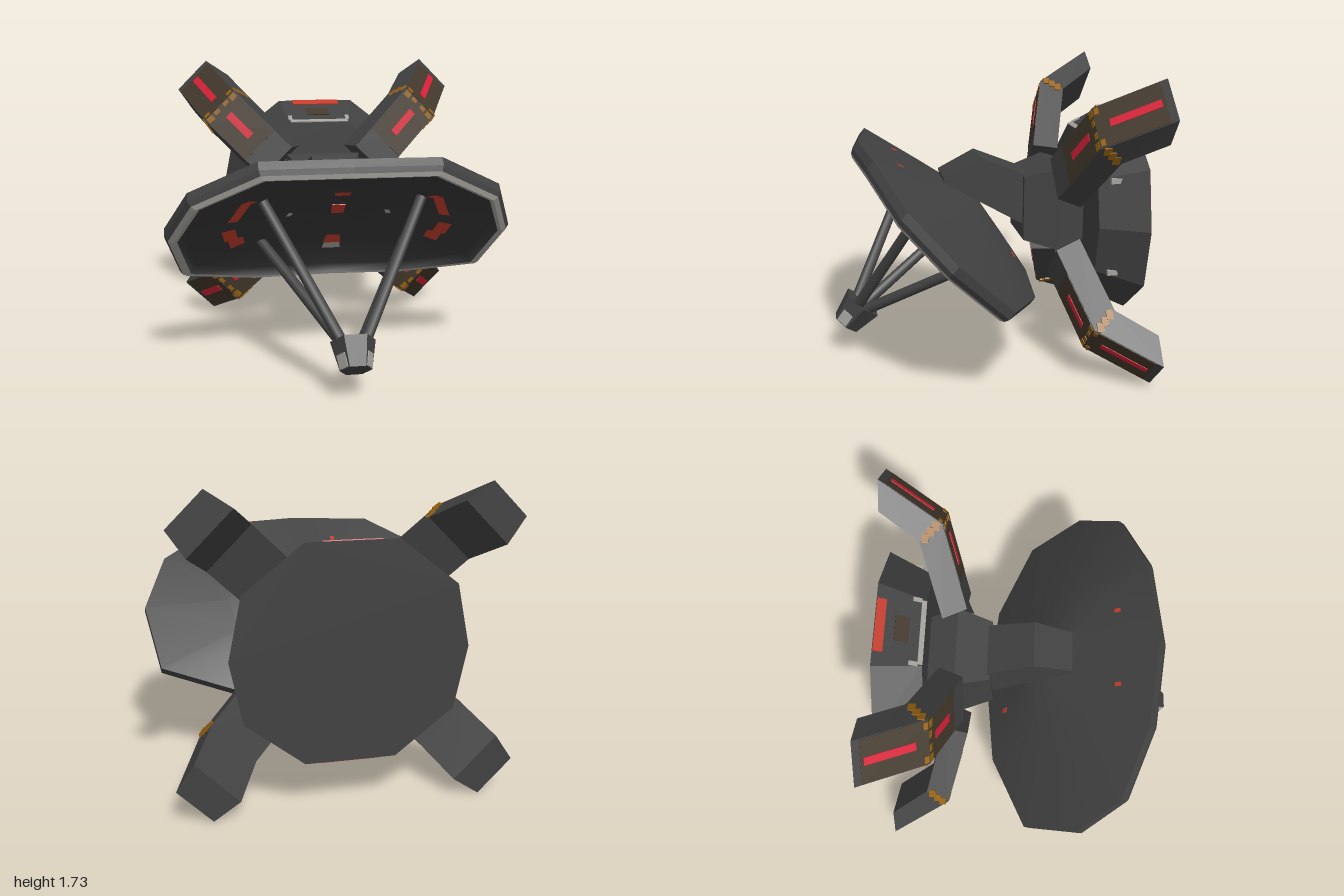
import * as THREE from 'three';

const CY = 0.86; // height of the hub axis

const flat = (g) => {
  const f = g.index ? g.toNonIndexed() : g;
  f.computeVertexNormals();
  return f;
};
const polygon = (pts) => new THREE.Shape(pts.map((p) => new THREE.Vector2(...p)));

export function createModel() {
  const mat = (name, color) => {
    const m = new THREE.MeshStandardMaterial({ color });
    m.name = name;
    return m;
  };
  const body = mat('dark grey', 0x414141);
  const inner = mat('dish black', 0x363636);
  const brown = mat('warm brown', 0x43382b);
  const red = mat('bright red', 0xd82038);
  const orangeRed = mat('orange red', 0xc43c2c);
  const orange = mat('amber', 0x96620e);
  const pale = mat('pale grey', 0xa5a29d);

  const root = new THREE.Group();
  const add = (parent, name, geo, m) => {
    const mesh = new THREE.Mesh(geo, m);
    mesh.name = name;
    parent.add(mesh);
    return mesh;
  };

  // Thin plate on the face between two (radius, z) profile points, from fraction f0 to f1
  const plate = (parent, name, a, b, f0, f1, width, side, m, thick = 0.006) => {
    const dr = b[0] - a[0], dz = b[1] - a[1], len = Math.hypot(dr, dz), f = (f0 + f1) / 2;
    const mesh = add(parent, name, new THREE.BoxGeometry(len * (f1 - f0), width, thick), m);
    const off = thick / 2;
    mesh.position.set(a[0] + dr * f - dz / len * off, side, a[1] + dz * f + dr / len * off);
    mesh.rotation.y = -Math.atan2(dz, dr);
  };

  // Ten-sided hub, narrower in front, with trim on its facets
  const hubSide = [[0.245, -0.59], [0.565, -0.34], [0.635, 0], [0.565, 0.34], [0.245, 0.59]];
  const hubShape = polygon([...hubSide, ...hubSide.map(([x, y]) => [-x, -y])]);
  const hubGeo = new THREE.ExtrudeGeometry(hubShape, { depth: 0.26, bevelEnabled: false });
  const hp = hubGeo.attributes.position;
  for (let i = 0; i < hp.count; i++) {
    const s = hp.getZ(i) > 0.1 ? 0.8 : 1;
    hp.setXY(i, hp.getX(i) * s, hp.getY(i) * s);
  }
  add(root, 'hub', flat(hubGeo), body).position.set(0, CY, -0.87);
  const h0 = [0.472, -0.61], h1 = [0.59, -0.87];
  for (const s of [1, -1]) {
    const trim = new THREE.Group();
    trim.name = 'hubTrim';
    trim.position.y = CY;
    trim.rotation.z = s * Math.PI / 2;
    root.add(trim);
    plate(trim, 'hubLight', h0, h1, 0.8, 0.99, 0.31, 0, orangeRed);
    plate(trim, 'hubGlow', h0, h1, 0.32, 0.6, 0.15, 0, brown);
    plate(trim, 'hubEdge', h0, h1, 0.0, 0.1, 0.38, 0, pale);
    for (const t of [1, -1]) {
      plate(trim, 'hubEdgeEnd', h0, h1, 0.1, 0.28, 0.025, t * 0.19, pale);
      add(root, 'hubMark', new THREE.BoxGeometry(0.02, 0.03, 0.06), pale)
        .position.set(s * 0.5, CY + t * 0.27, -0.7);
    }
  }

  // Neck: two square frustums meeting at their wide ends
  const frustum = (name, front, back, z0, z1) => {
    const g = new THREE.CylinderGeometry(front * Math.SQRT2, back * Math.SQRT2, z0 - z1, 4, 1, false, Math.PI / 4);
    g.rotateX(Math.PI / 2);
    g.scale(1, 1.06, 1);
    add(root, name, flat(g), body).position.set(0, CY + 0.04, (z0 + z1) / 2);
  };
  frustum('neckFront', 0.18, 0.235, -0.25, -0.45);
  frustum('neckBack', 0.235, 0.19, -0.45, -0.62);

  // Boom from neck to dish, narrowing forwards
  const boomShape = polygon([[-0.27, 0.79], [0.21, 1.06], [0.22, 1.1], [0, 1.21], [-0.27, 1.1]]);
  const boomGeo = new THREE.ExtrudeGeometry(boomShape, { depth: 2, bevelEnabled: false });
  boomGeo.translate(0, 0, -1).rotateY(-Math.PI / 2);
  const bp = boomGeo.attributes.position;
  for (let i = 0; i < bp.count; i++) bp.setX(i, bp.getX(i) * (0.134 - 0.064 * bp.getZ(i)));
  add(root, 'boom', flat(boomGeo), body);

  // Four bent arms set diagonally around the hub, wider on their inner side
  const a0 = [0.35, -0.395], a1 = [0.85, -0.525], a2 = [1.09, -0.87];
  const armShape = polygon([a0, [0.3, -0.535], [0.755, -0.652], [0.92, -0.87], a2, a1]);
  const armGeo = new THREE.ExtrudeGeometry(armShape, { depth: 0.266, bevelEnabled: false });
  armGeo.rotateX(Math.PI / 2).translate(0, 0.133, 0);
  const ap = armGeo.attributes.position;
  for (let i = 0; i < ap.count; i++) {
    if (ap.getZ(i) < -0.53 && ap.getX(i) < 1) ap.setY(i, ap.getY(i) * 1.25);
  }
  flat(armGeo);
  for (let i = 0; i < 4; i++) {
    const arm = new THREE.Group();
    arm.name = 'arm';
    arm.position.set(i === 0 || i === 3 ? 0.055 : -0.055, CY, 0);
    arm.rotation.z = Math.PI / 4 + i * Math.PI / 2;
    root.add(arm);
    add(arm, 'armBeam', armGeo, body);
    plate(arm, 'frontPanel', a0, a1, 0.3, 1, 0.255, 0, brown, 0.003);
    plate(arm, 'outerPanel', a1, a2, 0, 0.9, 0.255, 0, brown, 0.003);
    plate(arm, 'frontStripe', a0, a1, 0.46, 0.84, 0.05, 0, red);
    plate(arm, 'outerStripe', a1, a2, 0.18, 0.86, 0.046, 0, red);
    // Amber spots around the knee
    for (const s of [1, -1]) {
      plate(arm, 'kneeSpot', a0, a1, 0.92, 0.99, 0.045, s * 0.1, orange);
      plate(arm, 'kneeSpot', a0, a1, 0.94, 0.99, 0.04, s * 0.04, orange);
      plate(arm, 'kneeSpot', a1, a2, 0.01, 0.07, 0.04, s * 0.1, orange);
      for (const [r, t, z, w] of [[0.84, 0.142, -0.56, 0.05], [0.81, 0.151, -0.59, 0.05], [0.775, 0.159, -0.62, 0.055]]) {
        const spot = add(arm, 'sideSpot', new THREE.BoxGeometry(w, 0.009, 0.04), orange);
        spot.position.set(r, s * t, z);
        spot.rotation.z = -s * 0.17;
      }
    }
  }

  // Dish: twelve-sided outline (x, slope position, forward bend) in a tilted frame
  const dish = new THREE.Group();
  dish.name = 'dish';
  dish.position.set(0, 0.85, 0.22);
  dish.rotation.x = Math.atan2(0.766, 0.643);
  root.add(dish);
  const half = [[0, -0.655, 0], [0.5, -0.605, 0.03], [0.93, -0.38, 0.09], [1, 0.04, 0.06],
    [0.86, 0.38, 0.02], [0.49, 0.605, -0.03], [0, 0.66, 0]];
  const outline = [...half, ...half.slice(1, -1).reverse().map(([x, y, b]) => [-x, y, b])];
  const n = outline.length;
  const surface = (pos, idx) => {
    const g = new THREE.BufferGeometry();
    g.setAttribute('position', new THREE.Float32BufferAttribute(pos, 3));
    g.setIndex(idx);
    g.computeVertexNormals();
    return g;
  };
  const loft = (rings) => { // each ring: scale, depth, shift along the slope
    const pos = [], idx = [];
    for (const [s, d, shift = 0] of rings) {
      for (const [x, y, b] of outline) pos.push(x * s, y * s + shift, d + b * s);
    }
    for (let r = 0; r < rings.length - 1; r++) for (let i = 0; i < n; i++) {
      const a = r * n + i, b = r * n + (i + 1) % n;
      idx.push(a, b, b + n, a, b + n, a + n);
    }
    return surface(pos, idx);
  };
  add(dish, 'dishBack', loft([[0.002, -0.215, -0.08], [0.5, -0.13, -0.04], [1, -0.04]]), body);
  add(dish, 'dishRim', flat(loft([[1, -0.04], [1, 0.01], [0.98, 0.04]])), body);
  add(dish, 'dishLip', flat(loft([[0.98, 0.04], [0.95, 0.057], [0.928, 0.052]])), pale);
  add(dish, 'dishInside', loft([[0.928, 0.052], [0.9, 0.0], [0.5, -0.055], [0.002, -0.09]]), inner);

  // Painted patches following the inside: outline index range, scale range
  const patch = (i0, i1, s0, s1, m) => {
    const pos = [];
    for (const [i, s] of [[i0, s1], [i1, s1], [i1, s0], [i0, s0]]) {
      const k = Math.floor(i), p = outline[(k + n) % n], q = outline[(k + 1 + n) % n];
      const [x, y, b] = p.map((v, j) => v + (q[j] - v) * (i - k));
      const depth = s < 0.5 ? -0.09 + 0.07 * s : -0.055 + 0.1375 * (s - 0.5);
      pos.push(x * s, y * s, depth + b * s + 0.007);
    }
    add(dish, 'dishPatch', surface(pos, [0, 1, 2, 0, 2, 3]), m);
  };
  const pair = (i0, i1, s0, s1, m) => {
    patch(i0, i1, s0, s1, m);
    patch(n - i1, n - i0, s0, s1, m);
  };
  pair(3.15, 4, 0.6, 0.66, orangeRed);
  pair(4, 4.12, 0.59, 0.65, orangeRed);
  pair(2.4, 2.8, 0.61, 0.69, orangeRed);
  pair(2.08, 2.4, 0.58, 0.67, orangeRed);
  pair(3, 3.35, 0.28, 0.31, pale);
  pair(0, 0.2, 0.42, 0.55, orangeRed);
  pair(0, 0.18, 0.55, 0.63, pale);
  pair(5.75, 6, 0.33, 0.4, orangeRed);

  // Small lights at the dish centre and on its back
  const dot = (x, u, d, w, h, tilt) => {
    const p = add(dish, 'dishLight', new THREE.BoxGeometry(w, h, 0.008), orangeRed);
    p.position.set(x, u, d);
    p.rotation.x = tilt;
  };
  dot(0, 0.02, -0.082, 0.075, 0.1, 0);
  for (const s of [1, -1]) {
    dot(s * 0.225, 0.42, -0.104, 0.025, 0.035, 0.22);
    dot(s * 0.225, -0.44, -0.096, 0.025, 0.035, -0.28);
  }

  // Feed at the focus, a tapered hexagonal block with pale patches
  const feed = new THREE.Group();
  feed.name = 'feed';
  feed.position.set(0, 0.245, 0.76);
  feed.rotation.x = dish.rotation.x;
  root.add(feed);
  const feedGeo = new THREE.CylinderGeometry(0.088, 0.126, 0.165, 6, 1, false, Math.PI / 6);
  add(feed, 'feedBlock', flat(feedGeo.rotateX(Math.PI / 2)), body);
  for (const s of [1, -1]) {
    const pivot = new THREE.Group();
    pivot.name = 'feedTrim';
    pivot.rotation.z = Math.PI / 2 - s * Math.PI / 3;
    feed.add(pivot);
    plate(pivot, 'feedPatch', [0.076, 0.082], [0.109, -0.082], 0.03, 0.5, 0.07, 0, pale, 0.005);
  }

  // Four struts holding the feed
  const strut = (a, b) => {
    const p = new THREE.Vector3(...a), q = new THREE.Vector3(...b), d = q.clone().sub(p);
    const m = add(root, 'strut', new THREE.CylinderGeometry(0.03, 0.033, d.length(), 10), body);
    m.position.copy(p).add(q).multiplyScalar(0.5);
    m.quaternion.setFromUnitVectors(new THREE.Vector3(0, 1, 0), d.normalize());
  };
  for (const s of [1, -1]) {
    strut([s * 0.06, 0.31, 0.74], [s * 0.45, 1.02, 0.37]);
    strut([s * 0.05, 0.28, 0.69], [s * 0.46, 0.72, -0.01]);
  }
  return root;
}
